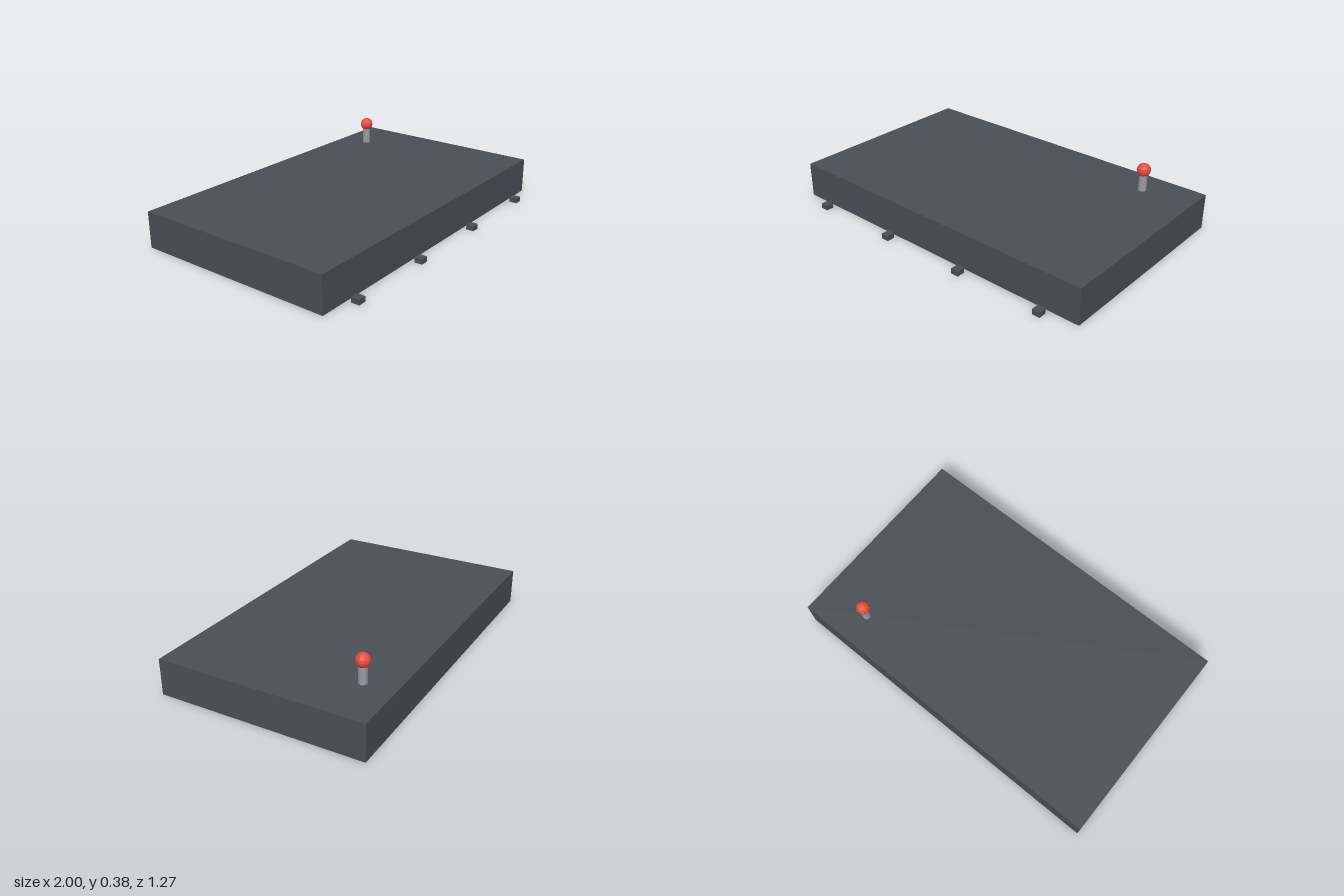
import * as THREE from 'three';

export function createModel() {
  const model = new THREE.Group();
  const mat = (color) => new THREE.MeshStandardMaterial({ color, flatShading: true });
  const dark = mat(0x4a4f57), metal = mat(0x9a9ca0), red = mat(0xe74c3c);

  const add = (name, geometry, material, x, y, z) => {
    const mesh = new THREE.Mesh(geometry, material);
    mesh.name = name;
    mesh.position.set(x, y, z);
    model.add(mesh);
  };

  // Flat slab body
  add('body', new THREE.BoxGeometry(2, 0.21, 1.2), dark, 0, 0.105, -0.037);

  // Small blocks in a row ahead of the front edge
  const block = new THREE.BoxGeometry(0.047, 0.03, 0.047);
  for (let i = 0; i < 4; i++) {
    add(`frontBlock${i + 1}`, block, dark, -0.8 + (i * 1.6) / 3, 0.015, 0.613);
  }

  // Lever with a ball knob near the back left corner
  add('leverShaft', new THREE.CylinderGeometry(0.024, 0.024, 0.126, 10), metal, 0.697, 0.273, -0.457);
  add('leverKnob', new THREE.SphereGeometry(0.04, 10, 8), red, 0.697, 0.336, -0.457);

  return model;
}
